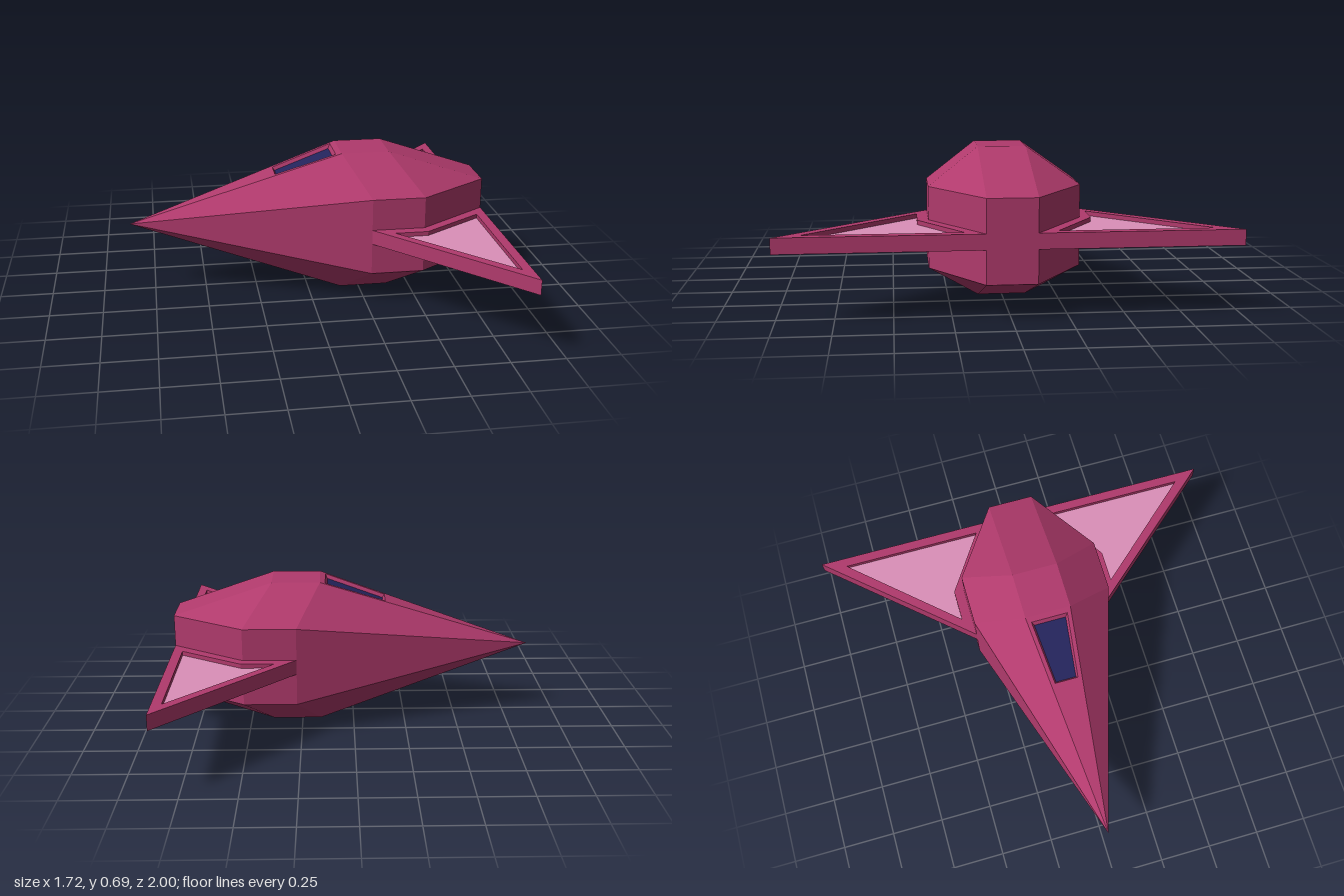
import * as THREE from 'three';

const hullPaint = new THREE.MeshStandardMaterial({ color: 0xb03a6c });
hullPaint.name = 'magenta hull';
const panelPaint = new THREE.MeshStandardMaterial({ color: 0xdb8fb8 });
panelPaint.name = 'pink wing panel';
const glassPaint = new THREE.MeshStandardMaterial({ color: 0x24245c });
glassPaint.name = 'navy glass';

const MID = 0.345; // height of the hull axis

// Flat-shaded mesh from a list of convex polygons
function facetMesh(name, polygons, material) {
  const positions = [];
  for (const p of polygons) {
    for (let i = 1; i < p.length - 1; i++) positions.push(...p[0], ...p[i], ...p[i + 1]);
  }
  const geometry = new THREE.BufferGeometry();
  geometry.setAttribute('position', new THREE.Float32BufferAttribute(positions, 3));
  geometry.computeVertexNormals();
  const mesh = new THREE.Mesh(geometry, material);
  mesh.name = name;
  return mesh;
}

// Turn a polygon so that its normal points along dir
function facing(polygon, dir) {
  const [a, b, c] = polygon.map((p) => new THREE.Vector3(...p));
  const normal = b.sub(a).cross(c.sub(a));
  return normal.dot(dir) < 0 ? [...polygon].reverse() : polygon;
}

// Plan loops are [x, z] pairs, put in counter-clockwise order seen from above
const planPoints = (loop) => loop.map(([x, z]) => new THREE.Vector2(x, -z));
const ordered = (loop) => (THREE.ShapeUtils.isClockWise(planPoints(loop)) ? [...loop].reverse() : loop);
const lift = (loop, height) => loop.map(([x, z]) => [x, height(x), z]);

// Surface over a plan loop, with optional hole
function cap(loop, hole, height, up = 1) {
  const holes = hole ? [planPoints(hole)] : [];
  const points = lift([...loop, ...(hole || [])], height);
  return THREE.ShapeUtils.triangulateShape(planPoints(loop), holes)
    .map((t) => facing(t.map((i) => points[i]), new THREE.Vector3(0, up, 0)));
}

// Quads joining two matching loops; outward when the first is the lower
function walls(a, b) {
  return a.map((p, i) => {
    const j = (i + 1) % a.length;
    return [p, a[j], b[j], b[i]];
  });
}

function createHull() {
  const group = new THREE.Group();
  group.name = 'hull';
  const nose = [-0.86, MID, 0];
  const deck = (x, sy, sz) => [x, MID + 0.345 * sy, 0.11 * sz];  // top and bottom flats
  const flank = (x, sy, sz) => [x, MID + 0.185 * sy, 0.34 * sz]; // side flats
  const stern = (sy, sz) => [0.86, MID + 0.185 * sy, 0.11 * sz];
  const faces = [[stern(1, 1), stern(1, -1), stern(-1, -1), stern(-1, 1)]];

  for (const s of [1, -1]) {
    // roof or belly
    faces.push([deck(0.16, s, 1), deck(0.39, s, 1), deck(0.39, s, -1), deck(0.16, s, -1)]);
    faces.push([deck(0.39, s, 1), stern(s, 1), stern(s, -1), deck(0.39, s, -1)]);
    // side
    faces.push([nose, flank(0.27, 1, s), flank(0.27, -1, s)]);
    faces.push([flank(0.27, 1, s), flank(0.52, 1, s), flank(0.52, -1, s), flank(0.27, -1, s)]);
    faces.push([flank(0.52, 1, s), stern(1, s), stern(-1, s), flank(0.52, -1, s)]);
    // bevels between
    for (const t of [1, -1]) {
      faces.push([nose, deck(0.16, s, t), flank(0.27, s, t)]);
      faces.push([deck(0.16, s, t), deck(0.39, s, t), flank(0.52, s, t), flank(0.27, s, t)]);
      faces.push([deck(0.39, s, t), stern(s, t), flank(0.52, s, t)]);
    }
  }
  faces.push([nose, deck(0.16, -1, 1), deck(0.16, -1, -1)]);
  const outward = faces.map((f) => {
    const centre = new THREE.Vector3();
    f.forEach((p) => centre.add(new THREE.Vector3(...p)));
    return facing(f, centre.divideScalar(f.length).sub(new THREE.Vector3(0.2, MID, 0)));
  });

  // upper nose with a sunken cockpit window
  const slope = (x) => MID + (0.345 * (x + 0.86)) / 1.02;
  const floor = (x) => slope(x) - 0.018;
  const noseLoop = ordered([[-0.86, 0], [0.16, 0.11], [0.16, -0.11]]);
  const rim = ordered([[-0.155, 0.056], [0.135, 0.088], [0.135, -0.088], [-0.155, -0.056]]);
  const pane = ordered([[-0.145, 0.049], [0.125, 0.077], [0.125, -0.077], [-0.145, -0.049]]);
  outward.push(...cap(noseLoop, rim, slope), ...walls(lift(rim, slope), lift(pane, floor)));

  group.add(facetMesh('hullShell', outward, hullPaint));
  group.add(facetMesh('cockpitWindow', cap(pane, null, floor), glassPaint));
  return group;
}

function createWing(side, name) {
  const group = new THREE.Group();
  group.name = name;
  const top = () => 0.38;
  const bottom = () => 0.31;
  const floor = () => 0.36;
  const mirror = (loop) => ordered(loop.map(([x, z]) => [x, z * side]));
  const outline = mirror([[0.27, 0.34], [0.52, 0.34], [0.86, 0.11], [0.86, 1]]);
  const inset = mirror([[0.37, 0.39], [0.525, 0.39], [0.815, 0.2], [0.815, 0.88]]);

  group.add(facetMesh('wingFrame', [
    ...cap(outline, inset, top),
    ...cap(outline, null, bottom, -1),
    ...walls(lift(outline, bottom), lift(outline, top)),
    ...walls(lift(inset, top), lift(inset, floor)),
  ], hullPaint));
  group.add(facetMesh('wingPanel', cap(inset, null, floor), panelPaint));
  return group;
}

export function createModel() {
  const model = new THREE.Group();
  model.name = 'spaceship';
  model.add(createHull(), createWing(1, 'frontWing'), createWing(-1, 'backWing'));
  return model;
}
